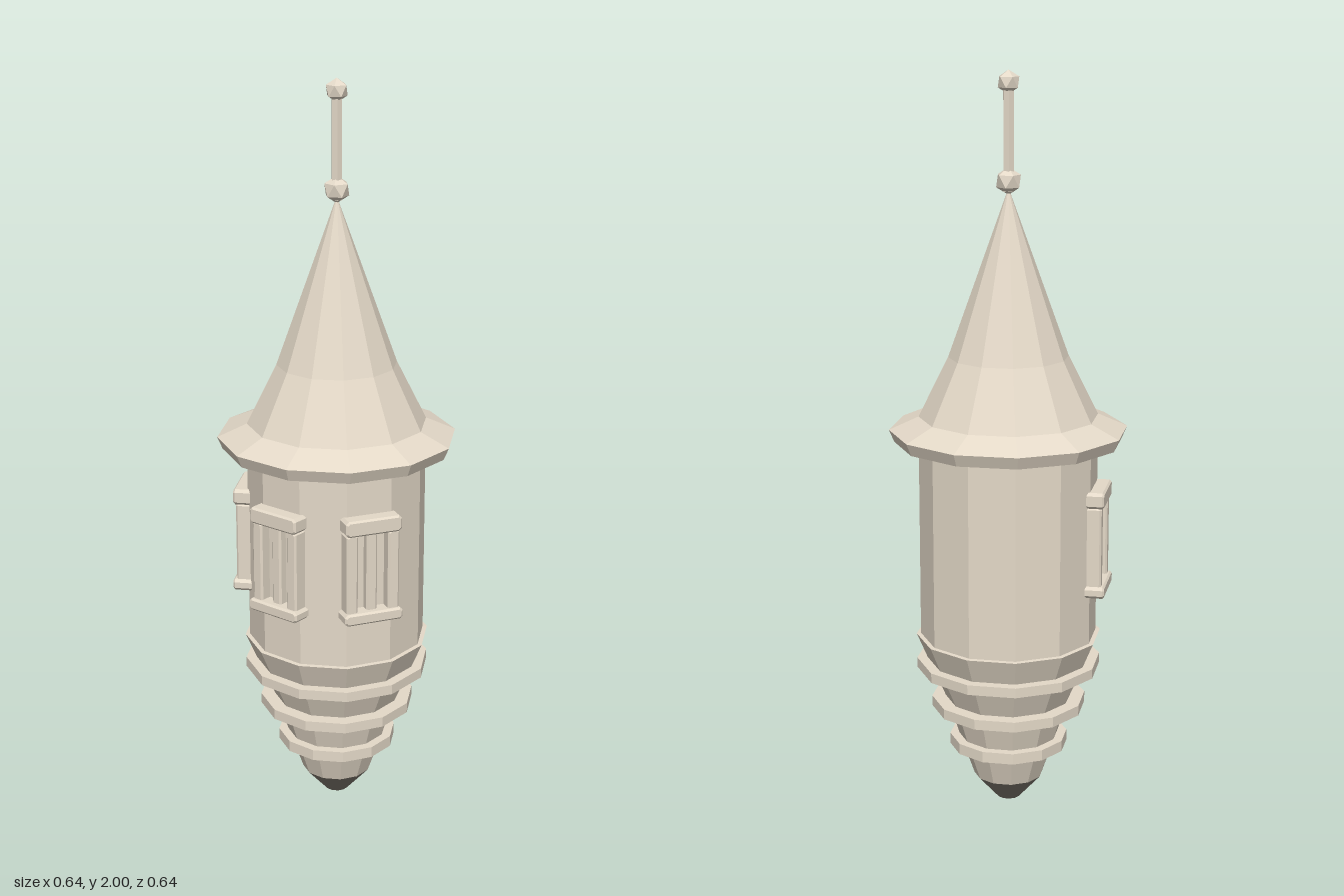
import * as THREE from 'three';

const SIDES = 12;

export function createModel() {
  const material = (name, color) => {
    const m = new THREE.MeshStandardMaterial({ color, flatShading: true });
    m.name = name;
    return m;
  };
  const stone = material('pale stone', 0xe4d9c8);
  const dark = material('dark stone', 0x827c72);
  const model = new THREE.Group();
  model.name = 'turret';

  const add = (name, geometry, mat = stone, parent = model) => {
    const mesh = new THREE.Mesh(geometry, mat);
    mesh.name = name;
    parent.add(mesh);
    return mesh;
  };
  // Twelve-sided turned part from [radius, y] pairs, bottom to top
  const turned = (name, pts, mat) =>
    add(name, new THREE.LatheGeometry(pts.map(([r, y]) => new THREE.Vector2(r, y)), SIDES), mat);

  // Tower wall, eave with dark underside, and two-slope roof
  turned('wall', [[0, 0.47], [0.24, 0.47], [0.24, 1.04], [0, 1.04]]);
  turned('eaveUnderside', [[0.2, 1.03], [0.27, 1.03], [0.305, 1.027]], dark);
  turned('eave', [[0.305, 1.027], [0.319, 1.06], [0.24, 1.095], [0, 1.095]]);
  turned('roof', [[0.24, 1.095], [0.16, 1.255], [0, 1.7]]);

  // Tapering corbel with a dark blunt tip
  turned('tip', [[0, 0], [0.032, 0], [0.095, 0.07]], dark);
  turned('corbel', [[0.095, 0.07], [0.132, 0.175], [0.167, 0.288],
    [0.216, 0.4], [0.252, 0.485], [0.23, 0.487]]);

  // Three projecting bands with dark undersides
  [[0.251, 0.388, 0.415], [0.211, 0.274, 0.302], [0.162, 0.16, 0.19]].forEach(([r, y0, y1], i) => {
    turned('band' + (i + 1), [[r, y0], [r, y1], [0, y1]]);
    turned('bandUnderside' + (i + 1), [[0, y0], [r, y0]], dark);
  });

  // Finial: rod between two faceted knobs, each standing on a corner
  const rod = add('finialRod', new THREE.CylinderGeometry(0.015, 0.015, 0.28, 6));
  rod.position.y = 1.83;
  for (const [name, r, y] of [['lowerKnob', 0.036, 1.717], ['upperKnob', 0.031, 1.969]]) {
    const knob = add(name, new THREE.IcosahedronGeometry(r, 0));
    knob.rotation.z = Math.atan(2 / (1 + Math.sqrt(5)));
    knob.position.y = y;
  }

  // Trim block with cut corners and a bevelled front and back, centred
  const block = (w, h, d, bevel = 0.005) => {
    const x = w / 2 - bevel, y = h / 2 - bevel, c = bevel;
    const outline = [[x - c, -y], [x, c - y], [x, y - c], [x - c, y],
      [c - x, y], [-x, y - c], [-x, c - y], [c - x, -y]];
    const shape = new THREE.Shape(outline.map(([a, b]) => new THREE.Vector2(a, b)));
    return new THREE.ExtrudeGeometry(shape, {
      depth: d - 2 * bevel, bevelEnabled: true, bevelSize: bevel,
      bevelThickness: bevel, bevelSegments: 1,
    }).translate(0, 0, bevel - d / 2);
  };

  // Three framed windows on alternate wall faces
  for (const degrees of [15, -45, -105]) {
    const win = new THREE.Group();
    win.name = 'window';
    win.rotation.y = THREE.MathUtils.degToRad(degrees);
    const part = (name, geometry, x, y, z) =>
      add(name, geometry, stone, win).position.set(x, y, z);
    part('lintel', block(0.156, 0.044, 0.052), 0, 0.889, 0.244);
    part('sill', block(0.164, 0.032, 0.056), 0, 0.636, 0.245);
    for (const s of [-1, 1])
      part('jamb', block(0.032, 0.23, 0.045), s * 0.058, 0.757, 0.241);
    part('mullion', block(0.03, 0.23, 0.034), 0, 0.757, 0.238);
    model.add(win);
  }

  return model;
}
